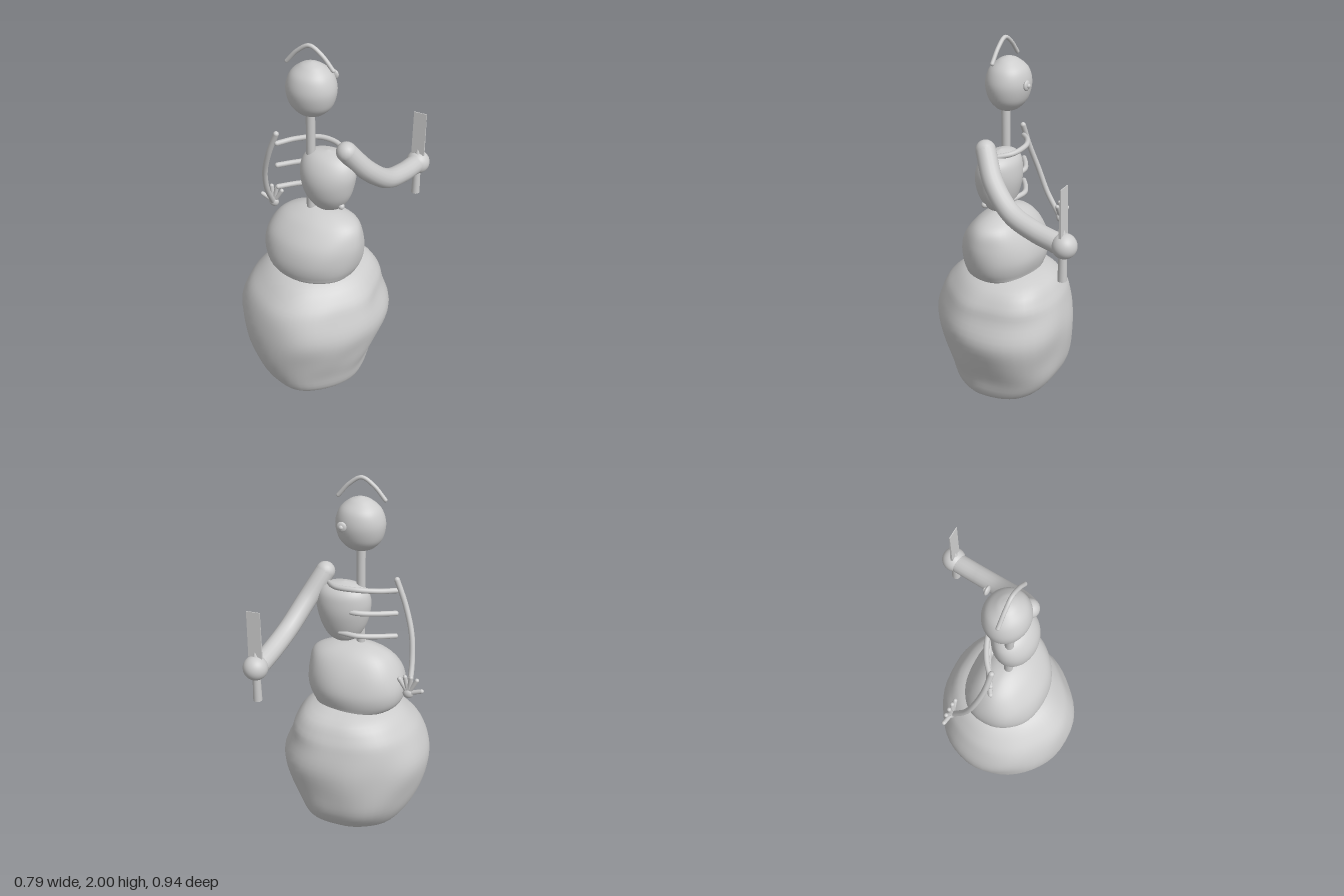
import * as THREE from 'three';

const clay = new THREE.MeshStandardMaterial({ color: 0xcccccc });
clay.name = 'clay grey';
const V = (p) => new THREE.Vector3(...p);

function add(parent, name, geometry, pos = [0, 0, 0], scale = [1, 1, 1]) {
  const mesh = new THREE.Mesh(geometry, clay);
  mesh.name = name;
  mesh.position.set(...pos);
  mesh.scale.set(...scale);
  parent.add(mesh);
  return mesh;
}

// Lofted blob: rows of [y, xMin, xMax, zMin, zMax] from bottom to top, smoothed by splines.
// corners swells or trims the four diagonals, front left first, then round past the front right.
function blob(rows, { bump = 0, seed = 0, corners = [0, 0, 0, 0] } = {}) {
  const steps = 40, sides = 48;
  const xs = new THREE.CatmullRomCurve3(rows.map((r) => V([r[1], r[2], r[0]])), false, 'catmullrom', 0.5);
  const zs = new THREE.CatmullRomCurve3(rows.map((r) => V([r[3], r[4], r[0]])), false, 'catmullrom', 0.5);
  const pos = [], index = [];
  for (let i = 0; i <= steps; i++) {
    const a = xs.getPoint(i / steps), b = zs.getPoint(i / steps), y = a.z;
    for (let j = 0; j < sides; j++) {
      const t = (j / sides) * Math.PI * 2;
      // uneven stone-like dents
      const n = Math.sin(3 * t + 7 * y + seed) * Math.sin(11 * y + seed * 2)
        + 0.6 * Math.sin(5 * t - 13 * y + seed * 3) + 0.4 * Math.sin(8 * t + 19 * y);
      const k = 1 + bump * n + corners[Math.floor((j * 4) / sides)] * Math.sin(2 * t) ** 2;
      pos.push((a.x + a.y) / 2 + ((a.y - a.x) / 2) * k * Math.cos(t), y,
        (b.x + b.y) / 2 + ((b.y - b.x) / 2) * k * Math.sin(t));
      if (i < steps) {
        const p = i * sides + j, q = i * sides + ((j + 1) % sides);
        index.push(p, p + sides, q, q, p + sides, q + sides);
      }
    }
  }
  const g = new THREE.BufferGeometry();
  g.setAttribute('position', new THREE.Float32BufferAttribute(pos, 3));
  g.setIndex(index);
  g.computeVertexNormals();
  return g;
}

// Round-ended tube through a few points.
function limb(parent, name, points, r) {
  const group = new THREE.Group();
  group.name = name;
  parent.add(group);
  const curve = new THREE.CatmullRomCurve3(points.map(V));
  add(group, name + 'Shaft', new THREE.TubeGeometry(curve, points.length * 8, r, 16));
  for (const p of [points[0], points[points.length - 1]]) {
    add(group, name + 'End', new THREE.SphereGeometry(r, 16, 12), p);
  }
  return group;
}

const ball = (r) => new THREE.SphereGeometry(r, 32, 24);

export function createModel() {
  const model = new THREE.Group();
  model.name = 'stoneFigure';

  // stacked boulders
  add(model, 'lowerBoulder', blob([
    [0.005, -0.04, -0.04, 0.13, 0.13], [0.035, -0.14, 0.09, 0.03, 0.22],
    [0.07, -0.205, 0.17, -0.05, 0.295], [0.14, -0.27, 0.255, -0.15, 0.38],
    [0.25, -0.33, 0.285, -0.225, 0.43], [0.38, -0.372, 0.33, -0.25, 0.46],
    [0.52, -0.39, 0.365, -0.26, 0.47], [0.64, -0.355, 0.325, -0.24, 0.445],
    [0.72, -0.305, 0.295, -0.215, 0.39], [0.8, -0.21, 0.21, -0.145, 0.285],
    [0.86, -0.01, -0.01, 0.08, 0.08]], { bump: 0.011, seed: 1, corners: [-0.06, -0.02, -0.01, 0.1] }));
  add(model, 'upperBoulder', blob([
    [0.77, 0, 0, 0.1, 0.1], [0.79, -0.16, 0.18, -0.06, 0.26], [0.83, -0.24, 0.225, -0.09, 0.295],
    [0.91, -0.26, 0.248, -0.105, 0.304], [1.0, -0.24, 0.248, -0.082, 0.28],
    [1.08, -0.185, 0.22, -0.035, 0.215], [1.125, -0.1, 0.13, 0.02, 0.15],
    [1.145, 0, 0, 0.09, 0.09]], { bump: 0.01, seed: 2.6, corners: [0, 0, 0.04, 0.03] }));

  // chest with a small nub
  add(model, 'chest', blob([
    [1.138, 0.065, 0.065, 0.08, 0.08], [1.155, 0.015, 0.11, 0.04, 0.125],
    [1.18, -0.018, 0.148, 0.018, 0.15], [1.24, -0.052, 0.182, -0.005, 0.183],
    [1.31, -0.07, 0.2, -0.02, 0.197], [1.37, -0.074, 0.205, -0.02, 0.19],
    [1.42, -0.06, 0.188, -0.008, 0.165], [1.452, -0.02, 0.145, 0.025, 0.13],
    [1.468, 0.06, 0.06, 0.08, 0.08]]));
  add(model, 'chestNub', ball(0.016), [0.152, 1.197, 0.12]);

  // spine and head
  limb(model, 'spine', [[-0.02, 1.1, 0.098], [-0.02, 1.4, 0.098], [-0.02, 1.7, 0.098]], 0.022);
  add(model, 'head', blob([
    [1.637, -0.022, -0.022, 0.085, 0.085], [1.648, -0.068, 0.024, 0.045, 0.125],
    [1.668, -0.1, 0.055, 0.017, 0.15], [1.71, -0.131, 0.086, -0.012, 0.177],
    [1.78, -0.143, 0.099, -0.027, 0.19], [1.845, -0.123, 0.079, -0.012, 0.172],
    [1.885, -0.08, 0.038, 0.03, 0.132], [1.9, -0.047, 0.005, 0.058, 0.105],
    [1.906, -0.02, -0.02, 0.08, 0.08]]));

  // eye on the back of the head
  add(model, 'eye', ball(0.024), [0.03, 1.795, -0.045], [1, 1.05, 0.45]);
  add(model, 'pupil', ball(0.011), [0.03, 1.795, -0.056], [1, 1, 0.8]);

  // arched bar above the head
  limb(model, 'headArch', [[-0.135, 1.893, 0.1], [-0.08, 1.955, 0.1], [-0.02, 1.99, 0.1],
    [0.04, 1.955, 0.1], [0.095, 1.893, 0.1]], 0.01);

  // ribs
  limb(model, 'topRib', [[-0.2, 1.443, 0.1], [-0.13, 1.455, 0.04], [-0.02, 1.468, -0.008],
    [0.08, 1.463, 0.005], [0.145, 1.45, 0.08]], 0.013);
  for (const y of [1.32, 1.195]) {
    limb(model, 'rib', [[-0.2, y, 0.1], [-0.12, y + 0.01, 0.045],
      [-0.03, y + 0.02, 0.002], [0.06, y + 0.022, 0.01]], 0.013);
  }

  // thin arm with an open hand
  limb(model, 'thinArm', [[-0.2, 1.497, 0.105], [-0.25, 1.37, 0.095], [-0.292, 1.235, 0.065],
    [-0.31, 1.1, 0.02], [-0.317, 0.985, -0.045]], 0.014);
  const palm = [-0.315, 0.975, -0.055];
  add(model, 'palm', ball(0.027), palm, [1, 1, 0.7]);
  for (const [x, y] of [[-0.358, 1.055], [-0.328, 1.065], [-0.298, 1.065], [-0.27, 1.05], [-0.384, 1.0]]) {
    limb(model, 'finger', [palm, [x, y, -0.06]], 0.011);
  }

  // thick arm and fist
  limb(model, 'thickArm', [[0.165, 1.495, 0.1], [0.235, 1.365, 0.015], [0.285, 1.26, -0.11],
    [0.31, 1.215, -0.25], [0.325, 1.195, -0.37]], 0.049);
  add(model, 'fist', ball(0.06), [0.333, 1.195, -0.412]);

  // blade with handle and collar
  add(model, 'bladeHandle', new THREE.CylinderGeometry(0.018, 0.022, 0.19, 24), [0.333, 1.11, -0.405]);
  add(model, 'bladeCollar', new THREE.CylinderGeometry(0.004, 0.018, 0.04, 24), [0.333, 1.26, -0.405]);
  const blade = new THREE.BoxGeometry(0.067, 0.28, 0.014);
  const p = blade.attributes.position;
  for (let i = 0; i < p.count; i++) if (p.getY(i) > 0) p.setZ(i, p.getZ(i) * 0.3);
  blade.computeVertexNormals();
  add(model, 'blade', blade, [0.333, 1.342, -0.405]);

  return model;
}
